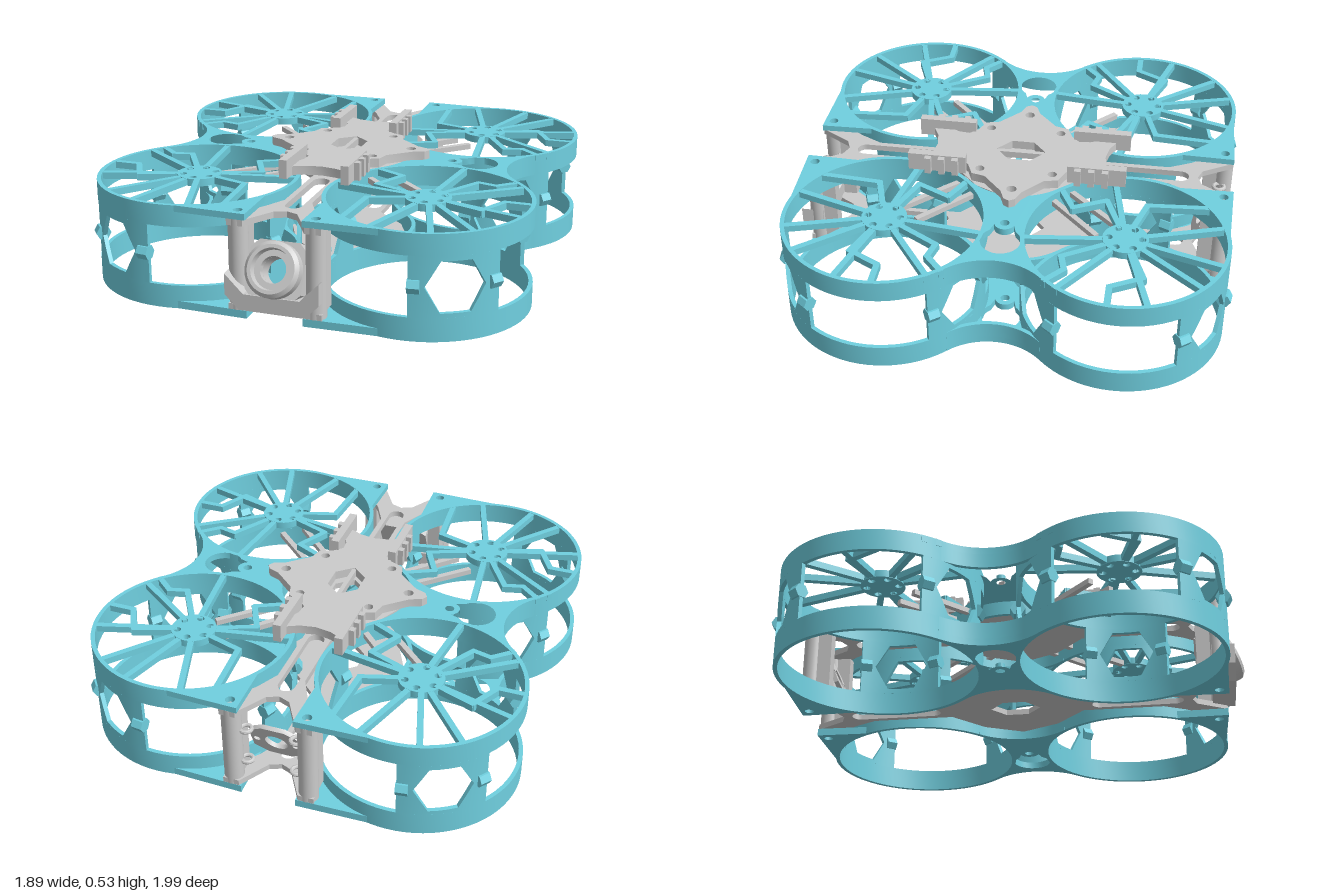
import * as THREE from 'three';
import { mergeGeometries, toCreasedNormals } from 'three/addons/utils/BufferGeometryUtils.js';

const teal = new THREE.MeshStandardMaterial({ color: 0x70d0e0 });
const grey = new THREE.MeshStandardMaterial({ color: 0xcccccc });
const HUB = 0.51, R = 0.437, WALL = 0.018, TOP = 0.447;
const BANDS = [[0, 0.1], [0.355, TOP]];
const DEG = Math.PI / 180;

function part(parent, name, geos, mat) {
  const list = [geos].flat().map(g => toCreasedNormals(g, 0.6));
  const mesh = new THREE.Mesh(mergeGeometries(list), mat);
  mesh.name = name;
  parent.add(mesh);
  return mesh;
}

// points on an arc in the ground plane, angle from +x towards +z
function arc(cx, cz, r, a0, a1, n = 24) {
  return Array.from({ length: n + 1 }, (_, i) => {
    const a = a0 + (a1 - a0) * i / n;
    return [cx + r * Math.cos(a), cz + r * Math.sin(a)];
  });
}
const circle = (cx, cz, r, n = 20) => arc(cx, cz, r, 0, Math.PI * 2, n).slice(0, -1);
const toVec = pts => pts.map(p => new THREE.Vector2(p[0], p[1]));

// flat plate from an outline in x,z between two heights
function plate(pts, y0, y1, holes = []) {
  const s = new THREE.Shape(toVec(pts));
  holes.forEach(h => s.holes.push(new THREE.Path(toVec(h))));
  return new THREE.ExtrudeGeometry(s, { depth: y1 - y0, bevelEnabled: false }).rotateX(Math.PI / 2).translate(0, y1, 0);
}
const box = (x0, x1, y0, y1, z0, z1) => new THREE.BoxGeometry(x1 - x0, y1 - y0, z1 - z0)
  .translate((x0 + x1) / 2, (y0 + y1) / 2, (z0 + z1) / 2);

// straight bar between two points in the ground plane
function bar(a, b, w, y0, y1) {
  const dx = b[0] - a[0], dz = b[1] - a[1];
  return new THREE.BoxGeometry(Math.hypot(dx, dz) + w * 0.6, y1 - y0, w)
    .rotateY(-Math.atan2(dz, dx)).translate((a[0] + b[0]) / 2, (y0 + y1) / 2, (a[1] + b[1]) / 2);
}

// mirror a quarter outline (from the x axis to the z axis) into a closed loop
function fourfold(q) {
  const m = (sx, sz) => q.map(p => [p[0] * sx, p[1] * sz]);
  const loop = [...m(1, 1), ...m(-1, 1).reverse(), ...m(-1, -1), ...m(1, -1).reverse()];
  return loop.filter((p, i) => {
    const n = loop[(i + 1) % loop.length];
    return Math.hypot(p[0] - n[0], p[1] - n[1]) > 1e-6;
  });
}

// curved wall panel around a hexagonal window: two halves bent from boxes
function panel(cx, cz, t) {
  const S = [-0.19, -0.157, -0.125, -0.094, -0.0625, -0.02, 0.02, 0.0625, 0.094, 0.125, 0.157, 0.19];
  const mid = 0.2275;
  return [-1, 1].map(side => {
    const g = new THREE.BoxGeometry(1, 1, 1, S.length - 1, 1, 1), p = g.attributes.position;
    for (let i = 0; i < p.count; i++) {
      const s = S[Math.round((p.getX(i) + 0.5) * (S.length - 1))];
      const h = Math.max(0, Math.min(0.108, (0.125 - Math.abs(s)) * 1.732));
      const y = p.getY(i) * side > 0 ? mid + side * 0.1285 : mid + side * h;
      const r = p.getZ(i) > 0 ? R : R - WALL, a = t + s / R;
      p.setXYZ(i, cx + r * Math.sin(a), y, cz + r * Math.cos(a));
    }
    return g;
  });
}

// one duct; sx, sz choose the corner
function duct(sx, sz) {
  const g = new THREE.Group();
  g.name = 'duct';
  const cx = sx * HUB, cz = sz * HUB;
  const at = ([u, v]) => [cx + sx * u, cz + sz * v];
  part(g, 'ductRing', BANDS.map(([a, b]) => plate(circle(cx, cz, R, 72), a, b, [circle(cx, cz, R - WALL, 72)])), teal);

  // three windowed panels with pegs on both edges
  const panels = [], pegs = [];
  for (const deg of [30, -90, 150]) {
    const t = Math.atan2(sx * Math.sin(deg * DEG), sz * Math.cos(deg * DEG));
    panels.push(...panel(cx, cz, t));
    for (const e of [-22, 22]) {
      const a = t + e * DEG;
      pegs.push(new THREE.CylinderGeometry(0.032, 0.032, 0.05, 6).rotateZ(Math.PI / 2).rotateY(a)
        .translate(cx + 0.429 * Math.sin(a), 0.23, cz + 0.429 * Math.cos(a)));
    }
  }
  part(g, 'windowPanels', panels, teal);
  part(g, 'pegs', pegs, teal);

  // motor mount and spokes
  const holes = [0, 60, 120, 180, 240, 300].map(d => circle(cx + 0.07 * Math.sin(d * DEG), cz + 0.07 * Math.cos(d * DEG), 0.016, 12));
  part(g, 'motorMount', plate(circle(cx, cz, 0.097, 32), 0.415, TOP, holes), teal);
  const paths = [
    [[-0.24, 0.075], [-0.26, 0.345]], [[-0.25, -0.1], [-0.18, -0.24], [-0.3, -0.3]],
    [[0.24, 0.09], [0.31, -0.04], [0.425, -0.04]], [[0.15, -0.25], [0.23, -0.23], [0.31, -0.3]],
    [[0.27, 0.33]], [[-0.13, 0.41]], [[0.12, 0.41]], [[0.05, -0.425]], [[0.35, -0.25]], [[-0.42, -0.08]], [[0.41, 0.12]],
  ];
  const spokes = [];
  for (const path of paths) {
    const l = Math.hypot(...path[0]);
    let from = path[0].map(c => c * 0.08 / l);
    for (const to of path) { spokes.push(bar(at(from), at(to), 0.026, 0.417, TOP - 0.001)); from = to; }
  }
  part(g, 'spokes', spokes, teal);

  // corner gussets that take the end posts
  const gusset = [[-0.39, R], ...arc(0, 0, R - 0.01, 90 * DEG, 154 * DEG)].map(at);
  const bolt = circle(...at([-0.345, 0.395]), 0.02);
  part(g, 'cornerGussets', [[0, 0.033], [0.42, TOP]].map(([a, b]) => plate(gusset, a, b, [bolt])), teal);
  return g;
}

// waist joining the front and rear duct on one side
function waist(s) {
  const g = new THREE.Group();
  g.name = 'waist';
  const F = 0.275, fx = 0.497, a = Math.atan2(HUB, fx);
  const outer = arc(HUB + fx, 0, F, Math.PI + a, Math.PI - a);
  const inner = arc(HUB - fx, 0, F, a, -a);
  const k = R - 0.008;
  const pts = [...outer, ...arc(HUB, HUB, k, -a, -Math.PI + a), ...inner, ...arc(HUB, -HUB, k, Math.PI - a, a)];
  const flip = l => l.map(p => [s * p[0], p[1]]);
  const opening = [...arc(0.6, 0, 0.085, -140 * DEG, 140 * DEG), ...arc(0.48, 0, 0.045, 70 * DEG, -70 * DEG, 10)];
  const holes = [opening, circle(0.48, 0, 0.02)].map(flip);
  part(g, 'waistPlates', [[0, 0.03], [0.417, TOP]].map(([y0, y1]) => plate(flip(pts), y0, y1, holes)), teal);
  const strips = [
    [...outer, ...arc(HUB + fx, 0, F + WALL, Math.PI - a, Math.PI + a)],
    [...inner, ...arc(HUB - fx, 0, F + WALL, -a, a)],
  ];
  part(g, 'waistWalls', BANDS.flatMap(([y0, y1]) => strips.map(l => plate(flip(l), y0, y1))), teal);
  return g;
}

// camera with its tilted lens and bumper
function camera() {
  const g = new THREE.Group();
  g.name = 'cameraUnit';
  const lens = new THREE.Group();
  lens.name = 'camera';
  lens.position.set(0, 0.225, 0.943);
  lens.rotation.x = -0.47;
  const ring = [[0.055, -0.06], [0.115, -0.06], [0.115, 0.025], [0.1, 0.04], [0.085, 0.04], [0.08, 0.01], [0.055, 0.01], [0.055, -0.06]];
  part(lens, 'lensRing', new THREE.LatheGeometry(toVec(ring), 40).rotateX(Math.PI / 2), grey);
  const q = [[0.12, 0], [0.12, 0.085], [0.085, 0.12], [0, 0.12]];
  part(lens, 'cameraBody', plate(fourfold(q), 0, 0.07, [circle(0, 0, 0.055)]).rotateX(Math.PI / 2).translate(0, 0, -0.09), grey);
  g.add(lens);
  const chin = [[-0.14, 0.05], [0.14, 0.05], [0.2, 0.11], [0.2, 0.2], [0.12, 0.12], [-0.12, 0.12], [-0.2, 0.2], [-0.2, 0.11]];
  const chinGeo = new THREE.ExtrudeGeometry(new THREE.Shape(toVec(chin)), { depth: 0.1, bevelEnabled: false });
  part(g, 'bumper', chinGeo.translate(0, 0, 0.88), grey);
  return g;
}

export function createModel() {
  const model = new THREE.Group();
  model.name = 'ductedDroneFrame';
  const f = new THREE.Group();
  f.name = 'frame';
  f.position.z = -0.035;
  model.add(f);
  const corners = [[1, 1], [-1, 1], [1, -1], [-1, -1]];
  corners.forEach(([sx, sz]) => f.add(duct(sx, sz)));
  f.add(waist(1), waist(-1), camera());

  // spine plates with lightening slots
  const spine = fourfold([[0.28, 0], [0.2, 0.17], [0.06, 0.3], [0.06, 0.66], [0.11, 0.76], [0.2, 0.88], [0.2, 0.945], [0.13, 0.945], [0.05, 0.81], [0, 0.79]]);
  const slots = [1, -1].map(s => [...arc(0, s * 0.38, 0.036, 0, -s * Math.PI, 10), ...arc(0, s * 0.715, 0.036, -s * Math.PI, -2 * s * Math.PI, 10)]);
  const centreHole = fourfold([[0.07, 0], [0.07, 0.05], [0, 0.11]]);
  const bolts = corners.map(([sx, sz]) => circle(sx * 0.165, sz * 0.905, 0.018));
  part(f, 'upperSpine', plate(spine, 0.393, 0.42, [...slots, centreHole, ...bolts]), grey);
  part(f, 'lowerSpine', plate(spine, 0.033, 0.058, [...slots, centreHole, ...bolts]), grey);

  // paired diagonal arms towards the motor mounts
  part(f, 'diagonalArms', corners.flatMap(([sx, sz]) => [[0.12, 0.19, 0.38, 0.46], [0.19, 0.12, 0.46, 0.38]]
    .map(([a, b, c, d]) => bar([sx * a, sz * b], [sx * c, sz * d], 0.025, 0.393, 0.417))), grey);

  // end posts with small cable clips
  part(f, 'endPosts', corners.flatMap(([sx, sz]) => [
    new THREE.CylinderGeometry(0.042, 0.042, 0.387, 24).translate(sx * 0.165, 0.2265, sz * 0.905),
    box(sx * 0.165 - 0.03, sx * 0.165 + 0.03, 0.05, 0.4, sz * 0.86 - 0.045, sz * 0.86 + 0.045),
  ]), grey);
  part(f, 'cableClips', [1, -1].flatMap(s => [0.14, 0.3].map(y =>
    new THREE.TorusGeometry(0.024, 0.009, 8, 16).rotateX(Math.PI / 2).translate(s * 0.11, y, -0.89))), grey);

  // rear bracket leaning between the posts
  const q = [[0.11, 0], [0.11, 0.06], [0.05, 0.1], [0, 0.1]];
  const rear = plate(fourfold(q), -0.01, 0.01, [circle(0, 0, 0.05), circle(0.085, 0, 0.015), circle(-0.085, 0, 0.015)]);
  part(f, 'rearBracket', rear.rotateX(Math.PI / 2 - 0.4).translate(0, 0.22, -0.83), grey);

  // top mounting plate with end rails
  const mount = fourfold([[0.375, 0], [0.36, 0.025], [0.31, 0.045], [0.215, 0.13], [0.2, 0.19], [0.14, 0.215], [0.105, 0.25], [0.11, 0.3], [0.13, 0.34], [0.13, 0.42], [0.07, 0.39], [0, 0.378]]);
  const mountHoles = [centreHole, circle(0.29, 0, 0.022), circle(-0.29, 0, 0.022), ...corners.map(([sx, sz]) => circle(sx * 0.16, sz * 0.16, 0.02))];
  part(f, 'mountingPlate', plate(mount, 0.445, 0.485, mountHoles), grey);
  part(f, 'centreBar', box(-0.01, 0.01, 0.45, 0.48, -0.11, 0.11), grey);
  const rails = [];
  for (const [sx, sz] of corners) {
    rails.push(box(sx * 0.138 - 0.018, sx * 0.138 + 0.018, 0.447, 0.53, sz * 0.352 - 0.128, sz * 0.352 + 0.128));
    for (const z of [0.27, 0.33, 0.39]) rails.push(box(sx * 0.165 - 0.015, sx * 0.165 + 0.015, 0.447, 0.525, sz * z - 0.014, sz * z + 0.014));
  }
  part(f, 'rails', rails, grey);
  return model;
}
